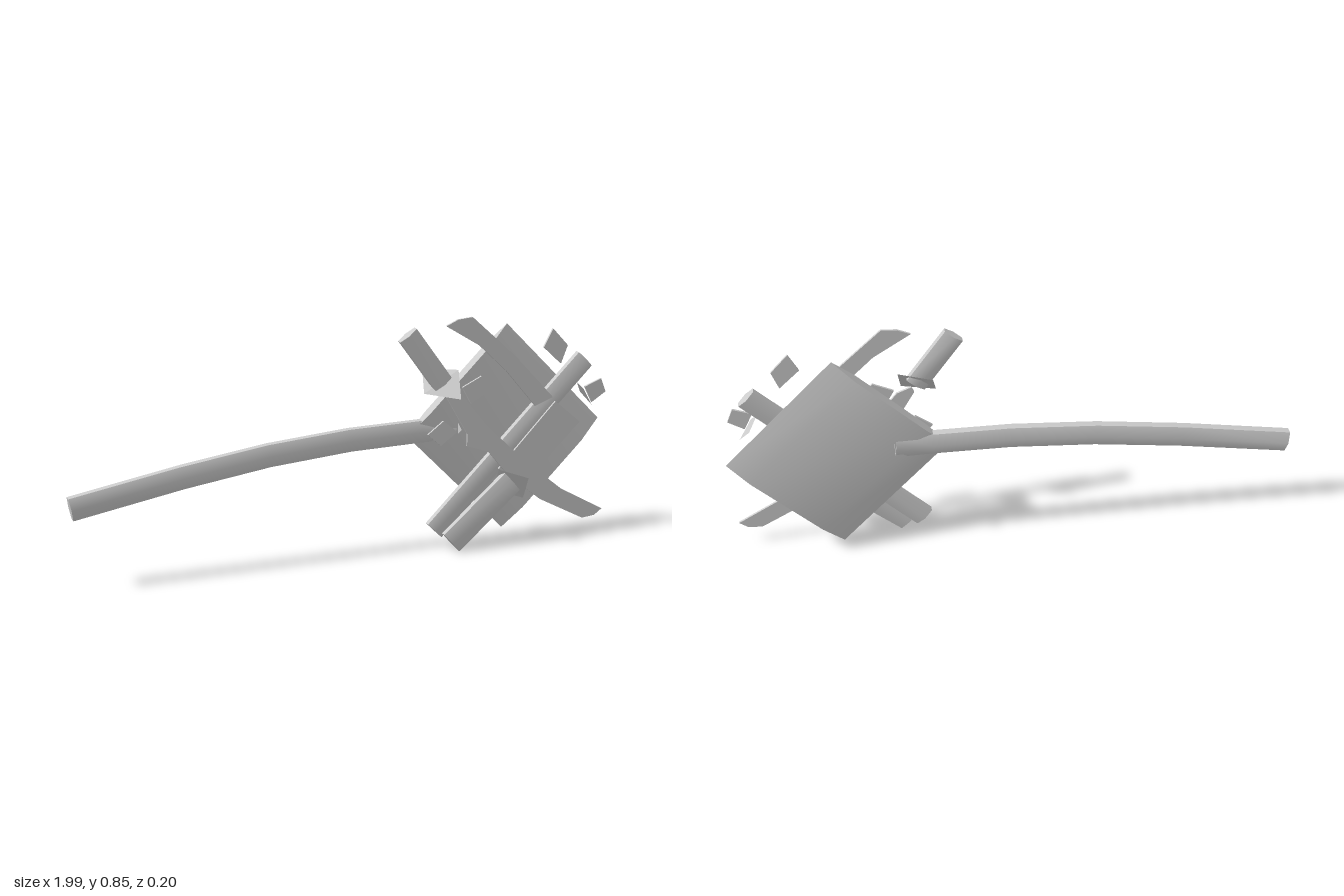
import * as THREE from 'three';
import { toCreasedNormals } from 'three/addons/utils/BufferGeometryUtils.js';

const metal = new THREE.MeshStandardMaterial({ color: 0xcccccc, side: THREE.DoubleSide });

function add(group, name, geometry) {
  const mesh = new THREE.Mesh(geometry, metal);
  mesh.name = name;
  group.add(mesh);
  return mesh;
}

// Lofts a cross-section [across, z] along a path in the xy plane, with closed ends
function bar(path, section, z) {
  const pos = [], index = [], n = section.length, last = path.length - 1;
  path.forEach(([x, y], i) => {
    const a = path[Math.max(i - 1, 0)], b = path[Math.min(i + 1, last)];
    const len = Math.hypot(b[0] - a[0], b[1] - a[1]);
    const px = -(b[1] - a[1]) / len, py = (b[0] - a[0]) / len;
    for (const [p, d] of section) pos.push(x + px * p, y + py * p, z + d);
  });
  for (let i = 0; i < last; i++) {
    for (let j = 0; j < n; j++) {
      const k = (j + 1) % n, a = i * n, b = a + n;
      index.push(a + j, a + k, b + k, a + j, b + k, b + j);
    }
  }
  for (let j = 1; j < n - 1; j++) {
    index.push(0, j + 1, j, last * n, last * n + j, last * n + j + 1);
  }
  const g = new THREE.BufferGeometry();
  g.setAttribute('position', new THREE.Float32BufferAttribute(pos, 3));
  g.setIndex(index);
  return toCreasedNormals(g, 0.7);
}

// Six-sided grip section with its ridges facing front and back
const grip = (w, d) => [[w, -d / 2], [w, d / 2], [0, d], [-w, d / 2], [-w, -d / 2], [0, -d]];
// Six-sided slab section with sharp sides
const slab = (w, flat, d) => [[w, 0], [flat, d], [-flat, d], [-w, 0], [-flat, -d], [flat, -d]];

// Thin sheet cut from an outline in the xy plane
function sheet(points, z, t = 0.008) {
  const shape = new THREE.Shape(points.map(([x, y]) => new THREE.Vector2(x, y)));
  return new THREE.ExtrudeGeometry(shape, { depth: t, bevelEnabled: false }).translate(0, 0, z - t / 2);
}

// Tilted four-cornered guard
function guard(corners) {
  const g = new THREE.BufferGeometry();
  g.setAttribute('position', new THREE.Float32BufferAttribute(
    [0, 1, 2, 0, 2, 3].flatMap((i) => corners[i]), 3));
  g.computeVertexNormals();
  return g;
}

export function createModel() {
  const group = new THREE.Group();
  group.name = 'brokenWeaponPile';

  // Large weapon at the back: broad slab and long curved handle
  const broad = new THREE.Group();
  broad.name = 'broadWeapon';
  group.add(broad);
  add(broad, 'broadBlade', bar([[0.418, 0.622], [0.798, 0.238]], slab(0.27, 0.165, 0.0215), -0.044));
  add(broad, 'curvedHandle', bar(
    [[-0.99, 0.3], [-0.6, 0.37], [-0.29, 0.415], [0.01, 0.44], [0.28, 0.446], [0.41, 0.446]],
    grip(0.04, 0.027), -0.048));
  add(broad, 'handleGuard', guard(
    [[0.415, 0.49, -0.055], [0.415, 0.45, -0.1], [0.415, 0.405, -0.055], [0.415, 0.45, 0.01]]));

  // Straight staff across the middle
  const staff = new THREE.Group();
  staff.name = 'staff';
  group.add(staff);
  add(staff, 'staffShaft', bar([[0.315, 0.085], [0.9, 0.67]], grip(0.038, 0.021), 0.002));
  add(staff, 'staffGuard', guard(
    [[0.87, 0.585, 0.01], [0.89, 0.56, 0.03], [0.935, 0.495, 0.005], [0.9, 0.54, -0.02]]));

  // Curved sword with its grip at the upper left
  const sword = new THREE.Group();
  sword.name = 'curvedSword';
  group.add(sword);
  add(sword, 'swordGrip', bar([[0.19, 0.82], [0.325, 0.635]], grip(0.037, 0.021), 0.04));
  add(sword, 'swordGuard', guard(
    [[0.255, 0.605, 0.04], [0.37, 0.588, 0.1], [0.385, 0.68, 0.04], [0.27, 0.68, -0.015]]));
  add(sword, 'swordBlade', sheet([
    [0.34, 0.62], [0.39, 0.6], [0.5, 0.465], [0.64, 0.33], [0.8, 0.2], [0.97, 0.105],
    [0.94, 0.083], [0.89, 0.078], [0.715, 0.17], [0.58, 0.28], [0.505, 0.37],
    [0.42, 0.4], [0.42, 0.445], [0.33, 0.6]], 0.044));

  // Broken sword with its grip at the lower left
  const broken = new THREE.Group();
  broken.name = 'brokenSword';
  group.add(broken);
  add(broken, 'brokenGrip', bar([[0.365, 0.045], [0.6, 0.25]], grip(0.046, 0.021), 0.042));
  add(broken, 'brokenGuard', guard(
    [[0.55, 0.297, 0.04], [0.64, 0.272, 0.1], [0.65, 0.18, 0.04], [0.555, 0.205, -0.015]]));
  add(broken, 'brokenBlade', sheet([[0.55, 0.3], [0.77, 0.53], [0.87, 0.445], [0.65, 0.23]], 0.036));
  add(broken, 'brokenTip', sheet([
    [0.335, 0.84], [0.38, 0.86], [0.435, 0.865], [0.6, 0.715], [0.757, 0.548],
    [0.687, 0.522], [0.57, 0.66], [0.465, 0.76]], 0.04));

  // Loose metal shards
  const shards = [
    [[0.75, 0.8], [0.81, 0.735], [0.785, 0.67], [0.715, 0.735]],
    [[0.4, 0.615], [0.473, 0.65], [0.513, 0.6], [0.435, 0.553]],
    [[0.27, 0.455], [0.33, 0.5], [0.383, 0.455], [0.32, 0.41]],
    [[0.885, 0.575], [0.95, 0.6], [0.97, 0.55], [0.915, 0.515]],
  ];
  shards.forEach((points, i) => add(group, 'shard' + (i + 1), sheet(points, 0.04)));
  return group;
}
